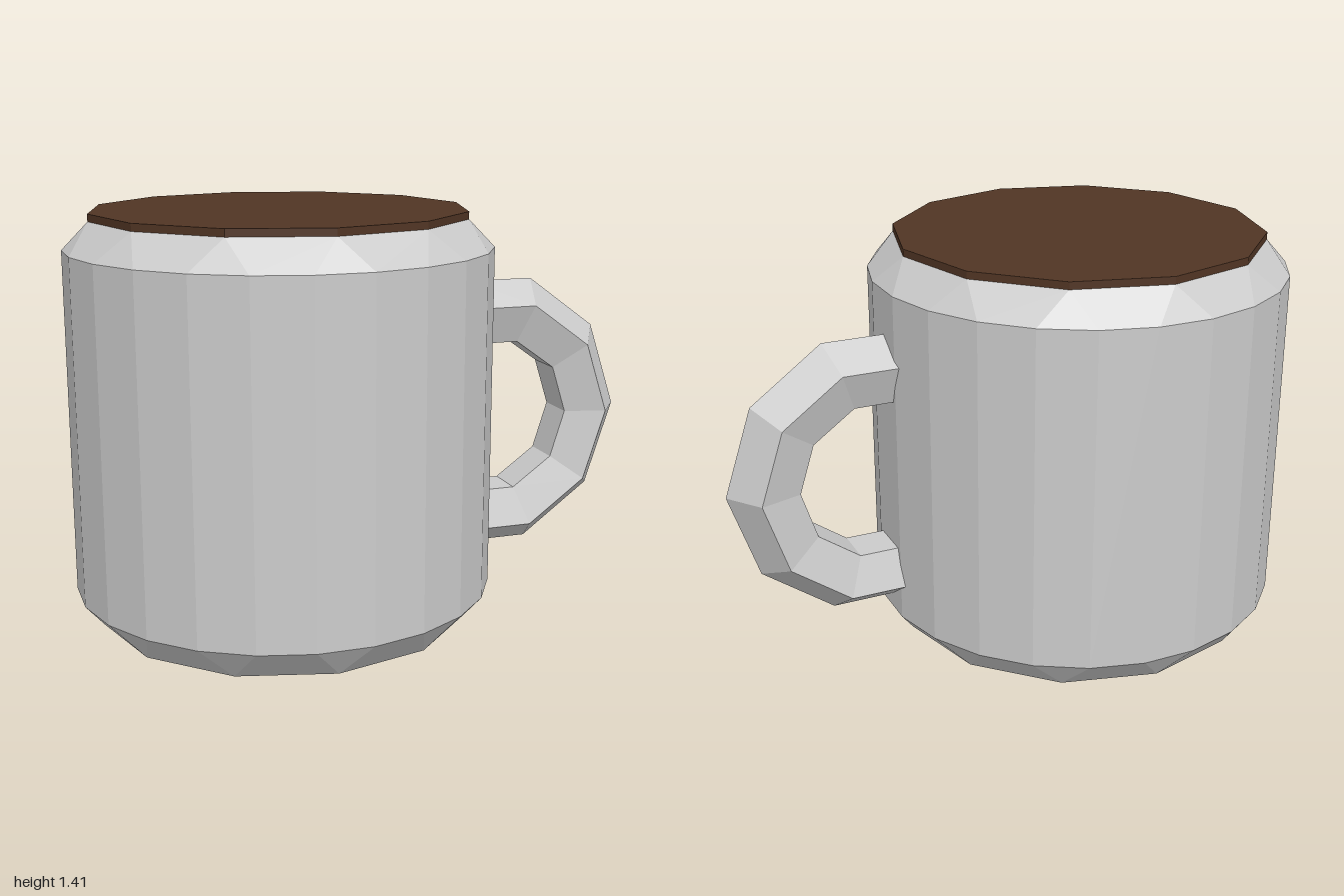
import * as THREE from 'three';

// Skins a list of equal-length rings (counter-clockwise seen from the far end) and caps both ends.
function loft(rings) {
  const pos = [];
  const tri = (a, b, c) => {
    if (a.distanceTo(b) < 1e-5 || b.distanceTo(c) < 1e-5 || c.distanceTo(a) < 1e-5) return;
    for (const p of [a, b, c]) pos.push(p.x, p.y, p.z);
  };
  const n = rings[0].length;
  for (let k = 0; k < rings.length - 1; k++) {
    const a = rings[k], b = rings[k + 1];
    for (let i = 0; i < n; i++) {
      const j = (i + 1) % n;
      tri(a[i], a[j], b[j]);
      tri(a[i], b[j], b[i]);
    }
  }
  const first = rings[0], last = rings[rings.length - 1];
  for (let i = 1; i < n - 1; i++) {
    tri(first[0], first[i + 1], first[i]);
    tri(last[0], last[i], last[i + 1]);
  }
  const geo = new THREE.BufferGeometry();
  geo.setAttribute('position', new THREE.Float32BufferAttribute(pos, 3));
  geo.computeVertexNormals();
  return geo;
}

// 24-sided ring; a coarse ring snaps pairs of corners together into 12 sides.
function bodyRing(radius, y, coarse) {
  return Array.from({ length: 24 }, (_, i) => {
    let deg = 7.5 + 15 * i;
    if (coarse) deg = 30 * Math.round(deg / 30);
    const a = THREE.MathUtils.degToRad(deg);
    return new THREE.Vector3(Math.cos(a) * radius, y, -Math.sin(a) * radius);
  });
}

export function createModel() {
  const model = new THREE.Group();
  model.name = 'mug';
  const grey = new THREE.MeshStandardMaterial({ color: 0xcccccc, flatShading: true });
  const brown = new THREE.MeshStandardMaterial({ color: 0x513524, flatShading: true });
  const centreX = -0.283, rimRadius = 0.64, wallRadius = 0.723;

  const add = (name, geo, mat) => {
    const mesh = new THREE.Mesh(geo, mat);
    mesh.name = name;
    model.add(mesh);
    return mesh;
  };

  // Body with faceted bevels at the foot and the rim
  const body = add('body', loft([
    bodyRing(rimRadius, 0, true),
    bodyRing(wallRadius, 0.11, false),
    bodyRing(wallRadius, 1.285, false),
    bodyRing(rimRadius, 1.385, true),
  ]), grey);
  body.position.x = centreX;

  // Drink filling the top
  const drink = add('drink', new THREE.CylinderGeometry(rimRadius, rimRadius, 0.025, 12), brown);
  drink.position.set(centreX, 1.3975, 0);

  // Handle: pentagonal section between an outer ridge and a flat inner side,
  // given for the upper half as [outer x, outer rise, inner x, inner rise]
  const midY = 0.644;
  const upper = [
    [0.41, 0.486, 0.41, 0.271],
    [0.65, 0.486, 0.57, 0.271],
    [0.9, 0.302, 0.715, 0.167],
  ];
  const lower = upper.map(([ox, oy, ix, iy]) => [ox, -oy, ix, -iy]).reverse();
  const section = [[0, 0], [0.382, 0.119], [1, 0.074], [1, -0.074], [0.382, -0.119]];
  const rings = [...upper, [1, 0, 0.768, 0], ...lower].map(([ox, oy, ix, iy]) =>
    section.map(([t, z]) => new THREE.Vector3(
      THREE.MathUtils.lerp(ox, ix, t), midY + THREE.MathUtils.lerp(oy, iy, t), z)));
  add('handle', loft(rings), grey);

  return model;
}
